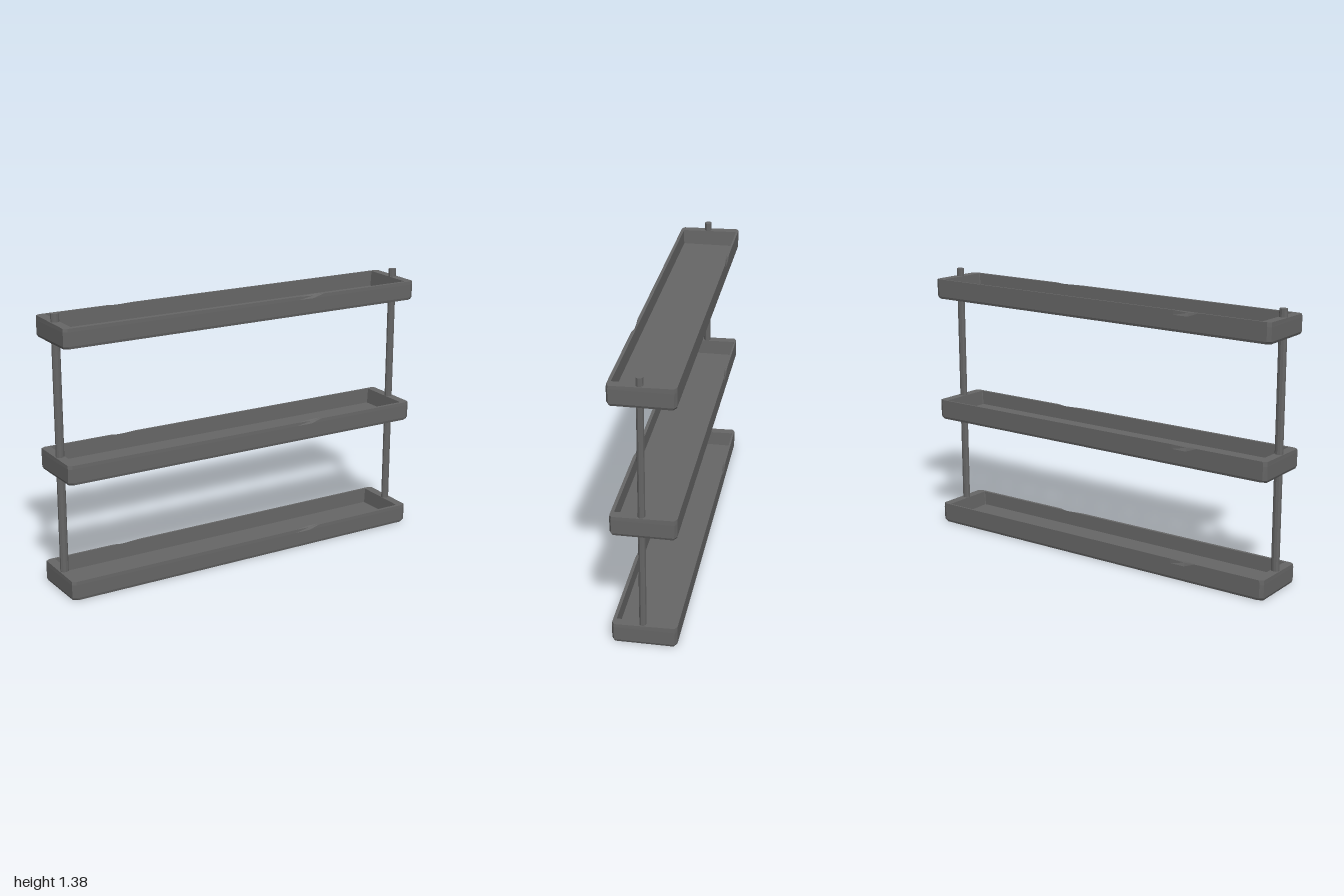
import * as THREE from 'three';

const darkMetal = new THREE.MeshStandardMaterial({ color: 0x666666 });
darkMetal.name = 'dark grey';
darkMetal.flatShading = true;

// Outline of a tray seen from above: cut corners, plus three points on each
// long side where the rim is chipped. chip = how far the middle point is cut.
function outline(hx, front, back, cutX, cutZ, y, chip = 0) {
  const drop = chip * 0.8;
  return [
    [hx, y, front - cutZ], [hx, y, back + cutZ],
    [hx - cutX, y, back],
    [-0.48, y, back], [-0.56, y - drop, back + chip], [-0.62, y, back],
    [-hx + cutX, y, back],
    [-hx, y, back + cutZ], [-hx, y, front - cutZ],
    [-hx + cutX, y, front],
    [0.28, y, front], [0.37, y - drop, front - chip], [0.43, y, front],
    [hx - cutX, y, front],
  ];
}

// Open tray lofted from the underside, up the outside, over the rim and down to the floor
function trayGeometry() {
  const rings = [
    outline(0.995, 0.154, -0.151, 0.024, 0.014, 0),
    outline(1, 0.157, -0.155, 0.02, 0.012, 0.012),
    outline(1, 0.157, -0.155, 0.018, 0.01, 0.08),
    outline(0.999, 0.156, -0.155, 0.02, 0.012, 0.1, 0.007),
    outline(0.953, 0.14, -0.145, 0.003, 0.003, 0.1),
    outline(0.947, 0.138, -0.143, 0.003, 0.003, 0.024),
  ];
  // the rim rises slightly towards the back
  for (const ring of [rings[3], rings[4]]) for (const p of ring) p[1] -= p[2] * 0.02;

  const pos = [];
  const tri = (a, b, c) => pos.push(...a, ...b, ...c);
  const n = rings[0].length;
  const last = rings[rings.length - 1];
  for (let i = 0; i < n; i++) {
    const j = (i + 1) % n;
    for (let r = 0; r < rings.length - 1; r++) {
      const a = rings[r], b = rings[r + 1];
      tri(a[i], a[j], b[j]);
      tri(a[i], b[j], b[i]);
    }
    tri([0, 0, 0], rings[0][j], rings[0][i]);
    tri([0, 0.024, 0], last[i], last[j]);
  }
  const geo = new THREE.BufferGeometry();
  geo.setAttribute('position', new THREE.Float32BufferAttribute(pos, 3));
  geo.computeVertexNormals();
  return geo;
}

export function createModel() {
  const model = new THREE.Group();
  model.name = 'shelf';

  // Three identical trays
  const geo = trayGeometry();
  ['bottomTray', 'middleTray', 'topTray'].forEach((name, i) => {
    const tray = new THREE.Mesh(geo, darkMetal);
    tray.name = name;
    tray.position.y = [0, 0.585, 1.24][i];
    model.add(tray);
  });

  // Slim rods running up through the tray ends
  const rodGeo = new THREE.CylinderGeometry(0.02, 0.02, 1.36, 10);
  rodGeo.scale(1.05, 1, 0.88);
  for (const side of [-1, 1]) {
    const rod = new THREE.Mesh(rodGeo, darkMetal);
    rod.name = side > 0 ? 'leftRod' : 'rightRod';
    rod.position.set(side * 0.974, 0.7, 0.01);
    model.add(rod);
  }
  return model;
}
